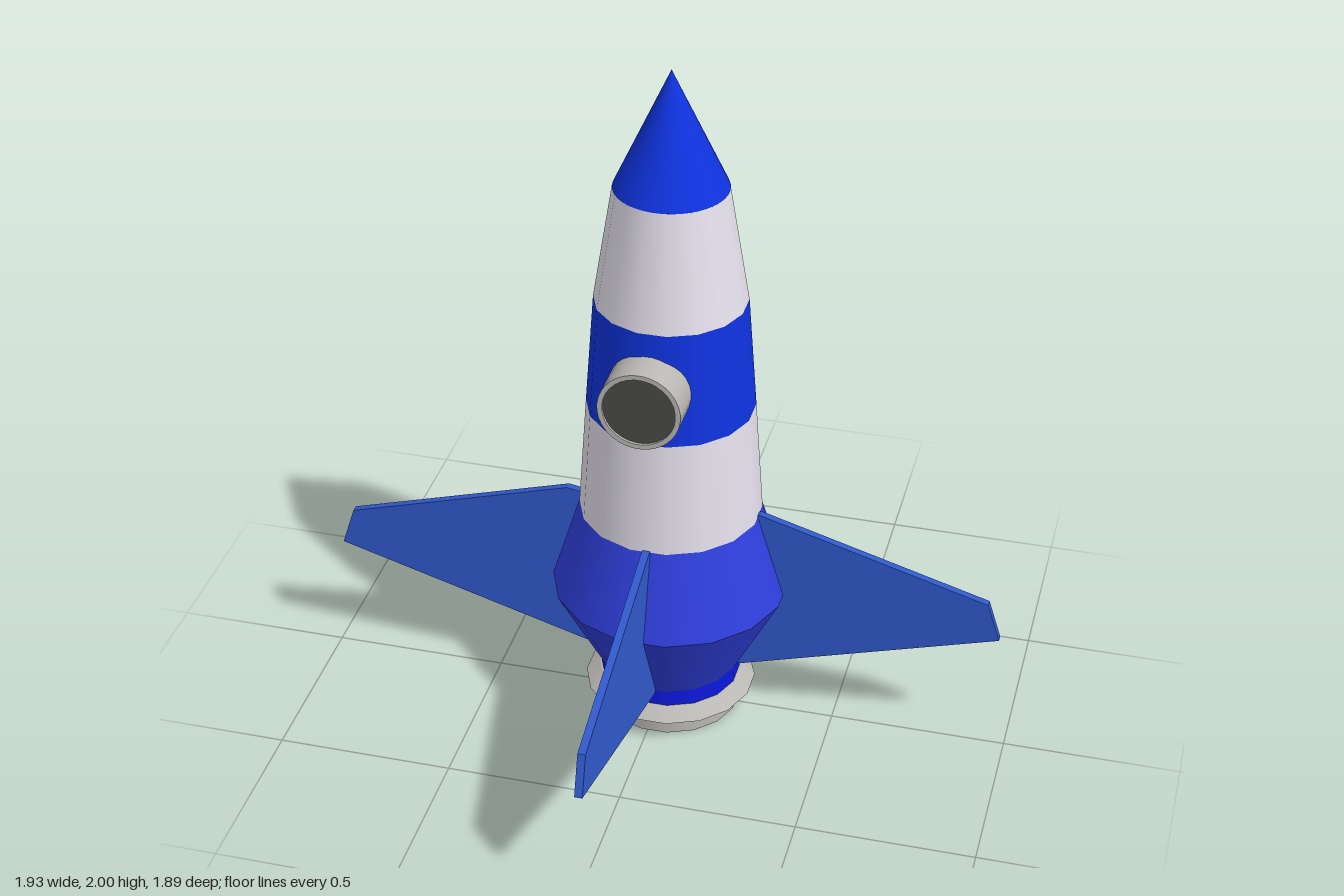
import * as THREE from 'three';

const mat = (color) => new THREE.MeshStandardMaterial({ color, side: THREE.DoubleSide });
const WHITE = mat(0xe6e2ee), BLUE = mat(0x0f33e0), BULGE = mat(0x2f3fdd), DEEP = mat(0x0c18dd);
const FIN = mat(0x3059cc), METAL = mat(0xbab8b4), DARK = mat(0x4a4a48);

function part(parent, name, geometry, material) {
  const mesh = new THREE.Mesh(geometry, material);
  mesh.name = name;
  parent.add(mesh);
  return mesh;
}

// Turned shape whose profile corners stay sharp while each band is smooth around.
function turned(parent, name, profile, material, sides = 16) {
  const group = new THREE.Group();
  group.name = name;
  for (let i = 0; i + 1 < profile.length; i++) {
    const pts = [profile[i], profile[i + 1]].map(([r, y]) => new THREE.Vector2(r, y));
    part(group, `${name}Band${i + 1}`, new THREE.LatheGeometry(pts, sides, Math.PI / sides), material);
  }
  parent.add(group);
  return group;
}

export function createModel() {
  const model = new THREE.Group();
  model.name = 'rocket';
  const rocket = new THREE.Group();
  rocket.name = 'rocketAssembly';
  rocket.position.set(0.018, 0, -0.004);
  model.add(rocket);

  // Hull, from the tail upward
  turned(rocket, 'tailRing', [[0.2, 0.09], [0.2, 0.148]], DEEP);
  turned(rocket, 'engineSection', [[0.2, 0.148], [0.336, 0.41], [0.257, 0.665]], BULGE);
  turned(rocket, 'lowerHull', [[0.257, 0.665], [0.234, 1.0]], WHITE);
  turned(rocket, 'middleHull', [[0.234, 1.0], [0.21, 1.33]], BLUE);
  turned(rocket, 'upperHull', [[0.21, 1.33], [0.156, 1.665]], WHITE);
  turned(rocket, 'noseCone', [[0.156, 1.665], [0, 2]], BLUE, 32);

  // Hollow exhaust collar with a flared rim
  turned(rocket, 'exhaustCollar', [
    [0.155, 0.055], [0.168, 0], [0.2, 0], [0.2, 0.035], [0.245, 0.068], [0.205, 0.098], [0.19, 0.1],
  ], METAL);
  const exhaust = part(rocket, 'exhaustOpening', new THREE.CircleGeometry(0.16, 16), DARK);
  exhaust.rotation.x = Math.PI / 2;
  exhaust.position.y = 0.05;

  // Porthole: tube pointing forward with a dark pane just inside the rim
  const porthole = turned(rocket, 'portholeFrame',
    [[0.114, 0], [0.114, 0.155], [0.1, 0.155], [0.1, 0.145]].map(([r, y]) => [r, y]), METAL, 32);
  porthole.rotation.x = Math.PI / 2;
  porthole.position.set(-0.01, 1.15, 0.153);
  const pane = part(rocket, 'portholePane', new THREE.CircleGeometry(0.102, 32), DARK);
  pane.position.set(-0.01, 1.15, 0.3);

  // Four swept fins
  const thickness = 0.022;
  const outline = [[0.17, 0.145], [0.21, 0.145], [0.947, 0.365], [0.91, 0.48], [0.26, 0.67], [0.2, 0.66]];
  const finGeometry = new THREE.ExtrudeGeometry(
    new THREE.Shape(outline.map(([x, y]) => new THREE.Vector2(x, y))),
    { depth: thickness, bevelEnabled: false });
  finGeometry.translate(0, 0, -thickness / 2);
  ['leftFin', 'backFin', 'rightFin', 'frontFin'].forEach((name, i) => {
    const fin = part(rocket, name, finGeometry, FIN);
    fin.rotation.y = i * Math.PI / 2;
    if (name === 'rightFin') fin.position.x = -0.04;
    if (name === 'frontFin' || name === 'backFin') fin.position.x = -0.005;
  });

  return model;
}
